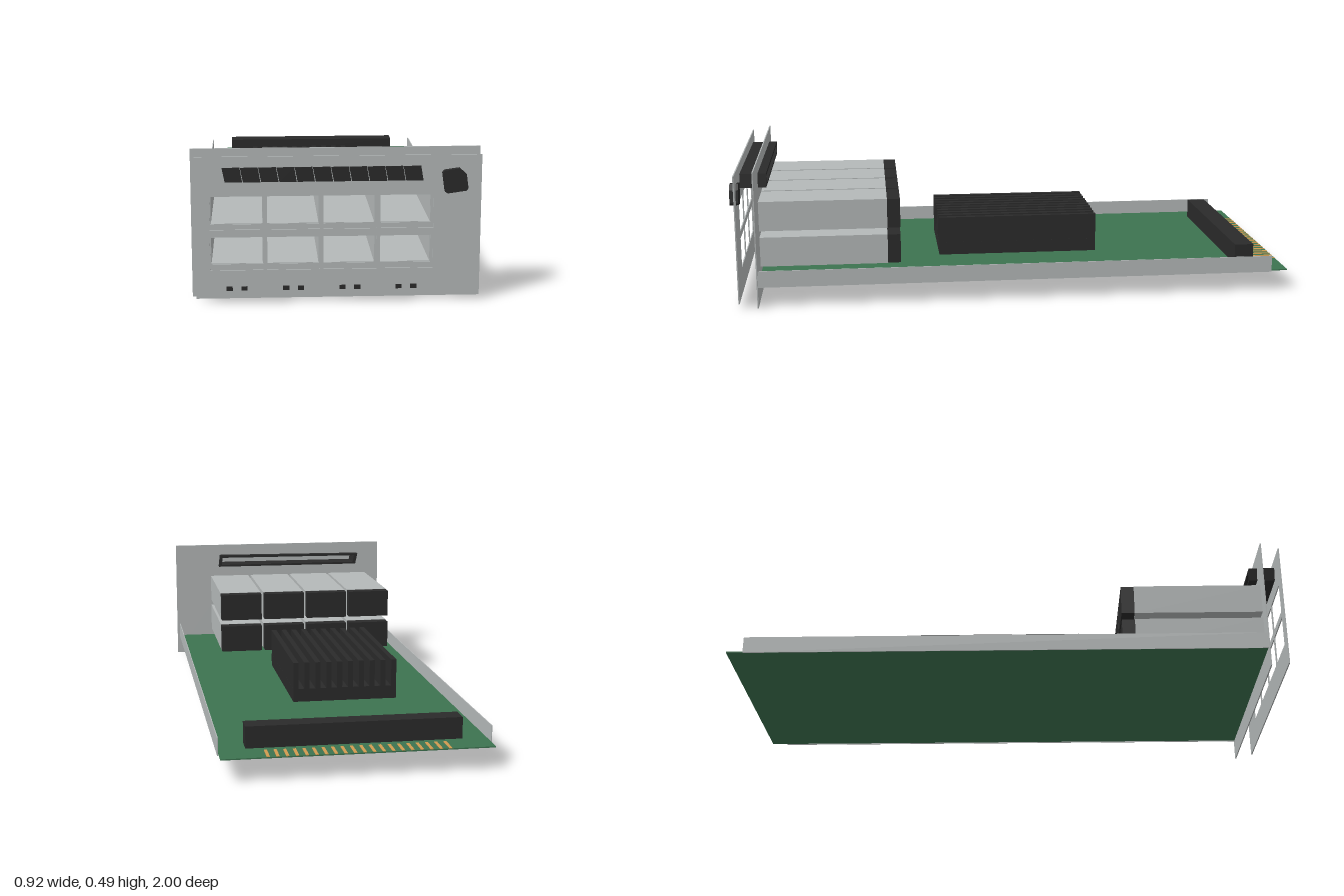
import * as THREE from 'three';

const material = (name, color, side = THREE.FrontSide) => {
  const m = new THREE.MeshStandardMaterial({ color, side });
  m.name = name;
  return m;
};

export function createModel() {
  const metal = material('bare metal', 0xb4b8b8, THREE.DoubleSide);
  const green = material('board green', 0x3d7350);
  const black = material('black plastic', 0x2a2a2a);
  const gold = material('contact gold', 0xd09a50);

  const model = new THREE.Group();
  model.name = 'networkCard';

  const add = (name, geometry, mat, parent = model) => {
    const mesh = new THREE.Mesh(geometry, mat);
    mesh.name = name;
    parent.add(mesh);
    return mesh;
  };
  // Box given by its limits on each axis
  const box = (name, mat, [x0, x1], [y0, y1], [z0, z1], parent) => {
    const mesh = add(name, new THREE.BoxGeometry(x1 - x0, y1 - y0, z1 - z0), mat, parent);
    mesh.position.set((x0 + x1) / 2, (y0 + y1) / 2, (z0 + z1) / 2);
    return mesh;
  };
  const outline = (points) => points.map(([x, y]) => new THREE.Vector2(x, y));
  const rect = (x0, x1, y0, y1) => outline([[x0, y0], [x1, y0], [x1, y1], [x0, y1]]);
  const extrude = (points, holes, depth) => {
    const shape = new THREE.Shape(points);
    holes.forEach((h) => shape.holes.push(new THREE.Path(h)));
    return new THREE.ExtrudeGeometry(shape, { depth, bevelEnabled: false });
  };

  // Port layout shared by the panels and the cages
  const columns = [0, 1, 2, 3].map((i) => [-0.4 + i * 0.179, -0.232 + i * 0.179]);
  const rows = [[0.11, 0.218], [0.242, 0.35]];
  const portHoles = rows.flatMap(([y0, y1]) => columns.map(([x0, x1]) => rect(x0, x1, y0, y1)));
  const slot = outline([[-0.352, 0.395], [0.27, 0.395], [0.264, 0.445], [-0.362, 0.441]]);

  // Front plate and the slightly larger bracket behind it
  add('frontPlate', extrude(rect(-0.445, 0.455, 0.018, 0.477), portHoles, 0.004), metal)
    .position.z = 0.978;
  add('rearBracket', extrude(rect(-0.46, 0.46, 0.003, 0.49), [...portHoles, slot], 0.004), metal)
    .position.z = 0.912;

  // Hollow light bar with a row of front segments
  const inner = outline([[-0.34, 0.403], [0.258, 0.403], [0.254, 0.435], [-0.346, 0.433]]);
  add('lightBarRim', extrude(slot, [inner], 0.094), black).position.z = 0.882;
  const segments = new THREE.Group();
  segments.name = 'lightBarSegments';
  model.add(segments);
  for (let i = 0; i < 11; i++) {
    const x = -0.36 + i * 0.0567;
    add('lightSegment', extrude(
      outline([[x + 0.01, 0.396], [x + 0.064, 0.396], [x + 0.056, 0.443], [x + 0.001, 0.442]]),
      [], 0.003), black, segments).position.z = 0.982;
  }

  // Turned square button
  const button = add('button', extrude(outline([
    [-0.037, -0.03], [-0.03, -0.037], [0.03, -0.037], [0.037, -0.03],
    [0.037, 0.015], [0.018, 0.037], [-0.03, 0.037], [-0.037, 0.03]]), [], 0.03), black);
  button.position.set(0.37, 0.397, 0.97);
  button.rotation.z = 0.14;

  // Indicator windows, two below each column
  columns.forEach(([x0]) => [0.06, 0.107].forEach((dx) =>
    box('indicator', black, [x0 + dx - 0.01, x0 + dx + 0.01], [0.043, 0.057], [0.982, 0.984])));

  // Hollow port cages with black connectors closing the back
  rows.forEach(([y0, y1], row) => columns.forEach(([x0, x1]) => {
    const port = new THREE.Group();
    port.name = 'portCage';
    model.add(port);
    const wall = 0.002;
    add('cageShell', extrude(rect(x0, x1, y0, y1),
      [rect(x0 + wall, x1 - wall, y0 + wall, y1 - wall)], 0.46), metal, port).position.z = 0.453;
    box('cageEndCap', black, [x0 + 0.001, x1 - 0.001], [y0 + 0.001, y1 - 0.001], [0.406, 0.456], port);
    const y = row ? y0 + 0.03 : y1 - 0.035;
    box('socketTongue', black, [x0 + 0.015, x1 - 0.015], [y - 0.016, y + 0.016], [0.45, 0.52], port);
  }));

  // Circuit board and side rails
  box('circuitBoard', green, [-0.445, 0.445], [0.078, 0.082], [-1, 0.912]);
  [-1, 1].forEach((s) => {
    const rail = box('sideRail', metal, [-0.0015, 0.0015], [0.075, 0.135], [-0.94, 0.912]);
    rail.position.x = s * 0.448;
  });

  // Heatsink
  const heatsink = new THREE.Group();
  heatsink.name = 'heatsink';
  model.add(heatsink);
  box('heatsinkBase', black, [-0.265, 0.117], [0.082, 0.13], [-0.345, 0.255], heatsink);
  for (let i = 0; i < 10; i++) {
    const x = -0.265 + i * 0.0403;
    box('heatsinkFin', black, [x, x + 0.019], [0.13, 0.227], [-0.345, 0.255], heatsink);
  }

  // Rear connector and edge contacts
  box('rearConnector', black, [-0.362, 0.355], [0.082, 0.155], [-0.897, -0.828]);
  for (let i = 0; i < 20; i++) {
    const x = -0.295 + i * 0.031;
    box('edgeContact', gold, [x - 0.005, x + 0.005], [0.082, 0.084], [-1, -0.925]);
  }

  return model;
}
